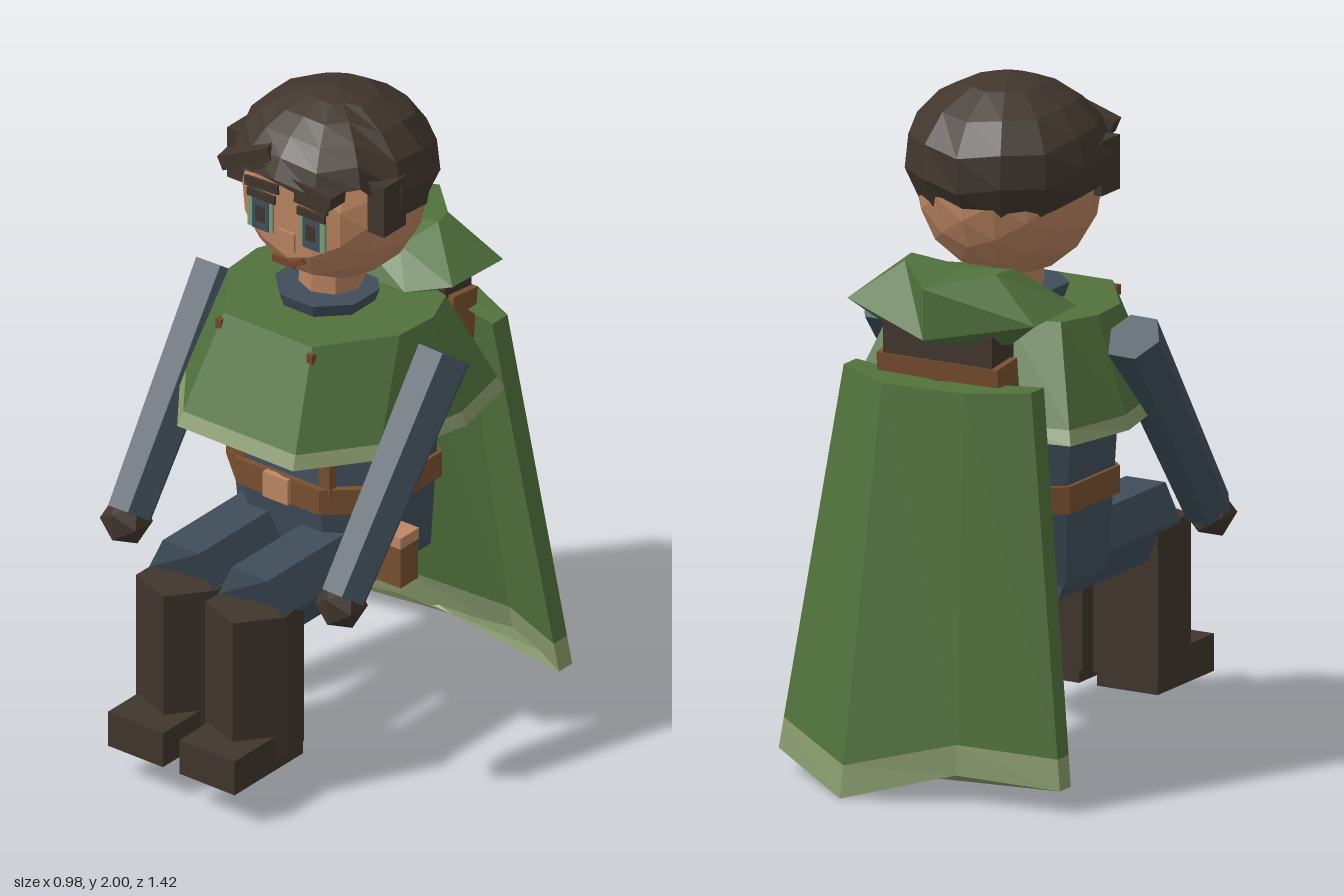
import * as THREE from 'three';

const mat = (name, color) => new THREE.MeshStandardMaterial({ name, color, flatShading: true, side: THREE.DoubleSide });

// Joins rings of [x,y,z], ordered top to bottom, each running front -> +x -> back -> -x.
function loft(rings, capTop = true, capBottom = true) {
  const pos = [];
  const n = rings[0].length;
  const tri = (a, b, c) => pos.push(...a, ...b, ...c);
  const centre = r => [0, 1, 2].map(k => r.reduce((s, p) => s + p[k], 0) / n);
  for (let j = 0; j < rings.length - 1; j++) for (let i = 0; i < n; i++) {
    const a = rings[j][i], b = rings[j][(i + 1) % n], c = rings[j + 1][(i + 1) % n], d = rings[j + 1][i];
    tri(a, d, c);
    tri(a, c, b);
  }
  const top = rings[0], bottom = rings[rings.length - 1];
  for (let i = 0; i < n; i++) {
    if (capTop) tri(centre(top), top[i], top[(i + 1) % n]);
    if (capBottom) tri(centre(bottom), bottom[(i + 1) % n], bottom[i]);
  }
  const g = new THREE.BufferGeometry();
  g.setAttribute('position', new THREE.Float32BufferAttribute(pos, 3));
  g.computeVertexNormals();
  return g;
}

// Mirrored ring from its +x half, given front to back.
const mirrored = half => [...half, ...half.slice().reverse().filter(p => p[0] > 0).map(([x, y, z]) => [-x, y, z])];
const ring = (y, half) => mirrored(half.map(([x, z]) => [x, y, z]));
const mixRings = (a, b, t) => a.map((p, i) => p.map((v, k) => v + (b[i][k] - v) * t));

export function createModel() {
  const model = new THREE.Group();
  model.name = 'seatedCloakedFigure';
  const green = mat('cloakGreen', 0x51723d), hemGreen = mat('hemGreen', 0x889a6c);
  const slate = mat('slateCloth', 0x404e5b), dark = mat('darkBrown', 0x40362d);
  const leather = mat('leather', 0x78502f), tan = mat('buckleTan', 0xbd8766);
  const skin = mat('skin', 0xb9835f), eyeGreen = mat('eyeGreen', 0x7f9c78), lip = mat('lip', 0x74452b);

  const add = (name, geo, material, pos = [0, 0, 0], rot = [0, 0, 0]) => {
    const g = geo.index ? geo.toNonIndexed() : geo;
    g.computeVertexNormals();
    const m = new THREE.Mesh(g, material);
    m.name = name;
    m.position.set(...pos);
    m.rotation.set(...rot);
    model.add(m);
    return m;
  };
  const box = (name, size, material, pos, rot) => add(name, new THREE.BoxGeometry(...size), material, pos, rot);

  // Torso, belt and straps
  add('torso', loft([
    ring(1.32, [[0.13, 0.15], [0.26, 0.06], [0.26, -0.13], [0.13, -0.2]]),
    ring(1.02, [[0.14, 0.19], [0.28, 0.1], [0.28, -0.16], [0.14, -0.26]]),
    ring(0.8, [[0.14, 0.21], [0.265, 0.1], [0.265, -0.16], [0.14, -0.25]]),
    ring(0.55, [[0.13, 0.17], [0.255, 0.08], [0.255, -0.15], [0.13, -0.24]]),
  ]), slate);
  const beltHalf = [[0.15, 0.225], [0.28, 0.11], [0.28, -0.17], [0.15, -0.265]];
  add('belt', loft([ring(0.85, beltHalf), ring(0.77, beltHalf)]), leather);
  box('beltBuckle', [0.09, 0.08, 0.02], tan, [0, 0.81, 0.228]);
  for (const s of [-1, 1]) box('chestStrap', [0.04, 0.5, 0.03], leather, [s * 0.155, 1.07, 0.2], [0.03, 0, 0]);
  box('hipPouch', [0.09, 0.15, 0.08], leather, [0.3, 0.62, 0.06]);
  box('pouchFlap', [0.094, 0.035, 0.084], tan, [0.3, 0.69, 0.06]);
  box('backPack', [0.4, 0.4, 0.11], leather, [0, 1.05, -0.355], [-0.12, 0, 0]);
  box('packRoll', [0.36, 0.12, 0.12], dark, [0, 1.3, -0.37]);

  // Neck and collar
  add('neck', new THREE.CylinderGeometry(0.09, 0.1, 0.2, 8), skin, [0, 1.38, -0.02]);
  add('collar', new THREE.CylinderGeometry(0.155, 0.13, 0.07, 8), slate, [0, 1.345, 0], [0, Math.PI / 8, 0]);

  // Shoulder mantle with a pale hem
  const mantleTop = ring(1.34, [[0.16, 0.27], [0.31, 0.06], [0.32, -0.08], [0.27, -0.2], [0.12, -0.24]]);
  const mantleEnd = ring(1.02, [[0.21, 0.42], [0.36, 0.22], [0.43, -0.09], [0.38, -0.33], [0.18, -0.36]]);
  const mantleHem = mixRings(mantleTop, mantleEnd, 0.87);
  add('mantle', loft([mantleTop, mantleHem], true, false), green);
  add('mantleHem', loft([mantleHem, mantleEnd], false, false), hemGreen);
  for (const s of [-1, 1]) box('mantleClasp', [0.02, 0.03, 0.02], lip, [s * 0.165, 1.31, 0.28]);

  // Lowered hood
  add('hood', loft([
    mirrored([[0, 1.46, -0.14], [0.12, 1.46, -0.18], [0.17, 1.505, -0.29], [0.15, 1.5, -0.36], [0, 1.47, -0.51]]),
    mirrored([[0, 1.37, -0.1], [0.2, 1.37, -0.1], [0.31, 1.39, -0.18], [0.31, 1.38, -0.41], [0, 1.32, -0.51]]),
    mirrored([[0, 1.34, -0.14], [0.13, 1.34, -0.14], [0.2, 1.33, -0.2], [0.2, 1.3, -0.36], [0, 1.29, -0.43]]),
  ]), green);

  // Long cape slab: inner face left to right, then outer face back again
  const slab = (pts, thick) => [...pts.map(([x, y, z]) => [x, y, z + thick]), ...pts.slice().reverse()];
  const capeTop = slab([[-0.31, 1.19, -0.43], [-0.13, 1.18, -0.5], [0.13, 1.18, -0.52], [0.31, 1.19, -0.43]], 0.07);
  const capeEnd = slab([[-0.465, 0.065, -0.53], [-0.15, 0.08, -0.58], [0.155, 0, -0.71], [0.465, 0.065, -0.53]], 0.06);
  const capeHem = mixRings(capeTop, capeEnd, 0.92);
  add('cape', loft([capeTop, capeHem], true, false), green);
  add('capeHem', loft([capeHem, capeEnd], false, true), hemGreen);

  // Arms and gloves
  for (const s of [-1, 1]) {
    const a = new THREE.Vector3(s * 0.403, 1.275, -0.025), b = new THREE.Vector3(s * 0.388, 0.67, 0.415);
    const sleeve = new THREE.CylinderGeometry(0.087, 0.072, a.distanceTo(b), 6);
    sleeve.rotateY(Math.PI / 2);
    const arm = add('arm', sleeve, slate, a.clone().add(b).multiplyScalar(0.5).toArray());
    arm.quaternion.setFromUnitVectors(new THREE.Vector3(0, 1, 0), a.clone().sub(b).normalize());
    add('glove', new THREE.IcosahedronGeometry(0.076, 0), dark, [s * 0.39, 0.655, 0.425]);
  }

  // Thighs, boots and feet
  const thighShape = new THREE.Shape([[-0.115, 0.59], [-0.075, 0.49], [0.075, 0.49], [0.115, 0.59], [0.065, 0.695], [-0.065, 0.695]]
    .map(p => new THREE.Vector2(...p)));
  const bootHalf = [[-0.11, 0.575], [0.03, 0.625], [0.125, 0.5], [0.105, 0.395], [-0.11, 0.395]];
  for (const s of [-1, 1]) {
    const thigh = new THREE.ExtrudeGeometry(thighShape, { depth: 0.61, bevelEnabled: false });
    const p = thigh.attributes.position;
    for (let i = 0; i < p.count; i++) if (p.getZ(i) > 0.5 && p.getY(i) < 0.55) p.setZ(i, 0.53);
    add('thigh', thigh, slate, [s * 0.125, 0, -0.1]);
    const level = y => bootHalf.map(([x, z]) => [x + s * 0.125, y, z]);
    add('bootShaft', loft([level(0.595), level(0.14)]), dark);
    box('foot', [0.2, 0.11, 0.31], dark, [s * 0.13, 0.155, 0.555]);
  }

  // Head with a flattened face
  const head = new THREE.IcosahedronGeometry(0.265, 2);
  const hp = head.attributes.position;
  for (let i = 0; i < hp.count; i++) hp.setZ(i, Math.min(hp.getZ(i), 0.215));
  add('head', head, skin, [0, 1.675, -0.035]);

  // Hair cap, longer towards the nape
  const hairRings = [];
  const segments = 14;
  for (let j = 1; j <= 6; j++) hairRings.push(Array.from({ length: segments }, (_, i) => {
    const a = i / segments * Math.PI * 2, c = Math.cos(a);
    const hem = (c > 0.25 ? 1.36 : 1.85 - 0.35 * c) + (i % 2 ? 0.06 : -0.04);
    const t = hem * Math.min(j, 5) / 5, r = Math.sin(t) * (j === 6 ? 0.8 : 1);
    return [0.302 * r * Math.sin(a), 1.76 + 0.235 * Math.cos(t), -0.04 + 0.292 * r * c];
  }));
  hairRings.unshift(hairRings[0].map(() => [0, 2, -0.04]));
  add('hair', loft(hairRings, false, false), dark);
  for (const s of [-1, 1]) box('sideburn', [0.06, 0.16, 0.1], dark, [s * 0.255, 1.745, 0.05]);
  box('fringe', [0.3, 0.04, 0.07], dark, [0.04, 1.81, 0.19], [0, 0, -0.12]);
  box('fringeLock', [0.17, 0.045, 0.06], dark, [-0.12, 1.84, 0.205], [0, 0.2, 0.4]);

  // Face plates
  for (const s of [-1, 1]) {
    box('eyebrow', [0.12, 0.03, 0.009], dark, [s * 0.09, 1.745, 0.186], [0, 0, -s * 0.05]);
    box('eyelid', [0.1, 0.025, 0.009], dark, [s * 0.09, 1.71, 0.187]);
    box('eye', [0.09, 0.1, 0.008], eyeGreen, [s * 0.095, 1.65, 0.184]);
    box('iris', [0.06, 0.1, 0.008], slate, [s * 0.092, 1.65, 0.187]);
    box('pupil', [0.032, 0.05, 0.008], dark, [s * 0.092, 1.652, 0.19]);
  }
  box('nose', [0.06, 0.06, 0.009], skin, [0, 1.595, 0.186]);
  box('mouth', [0.08, 0.022, 0.009], lip, [-0.012, 1.522, 0.183]);
  box('mouthCorner', [0.045, 0.018, 0.009], lip, [0.042, 1.535, 0.182], [0, 0, 0.5]);

  return model;
}
